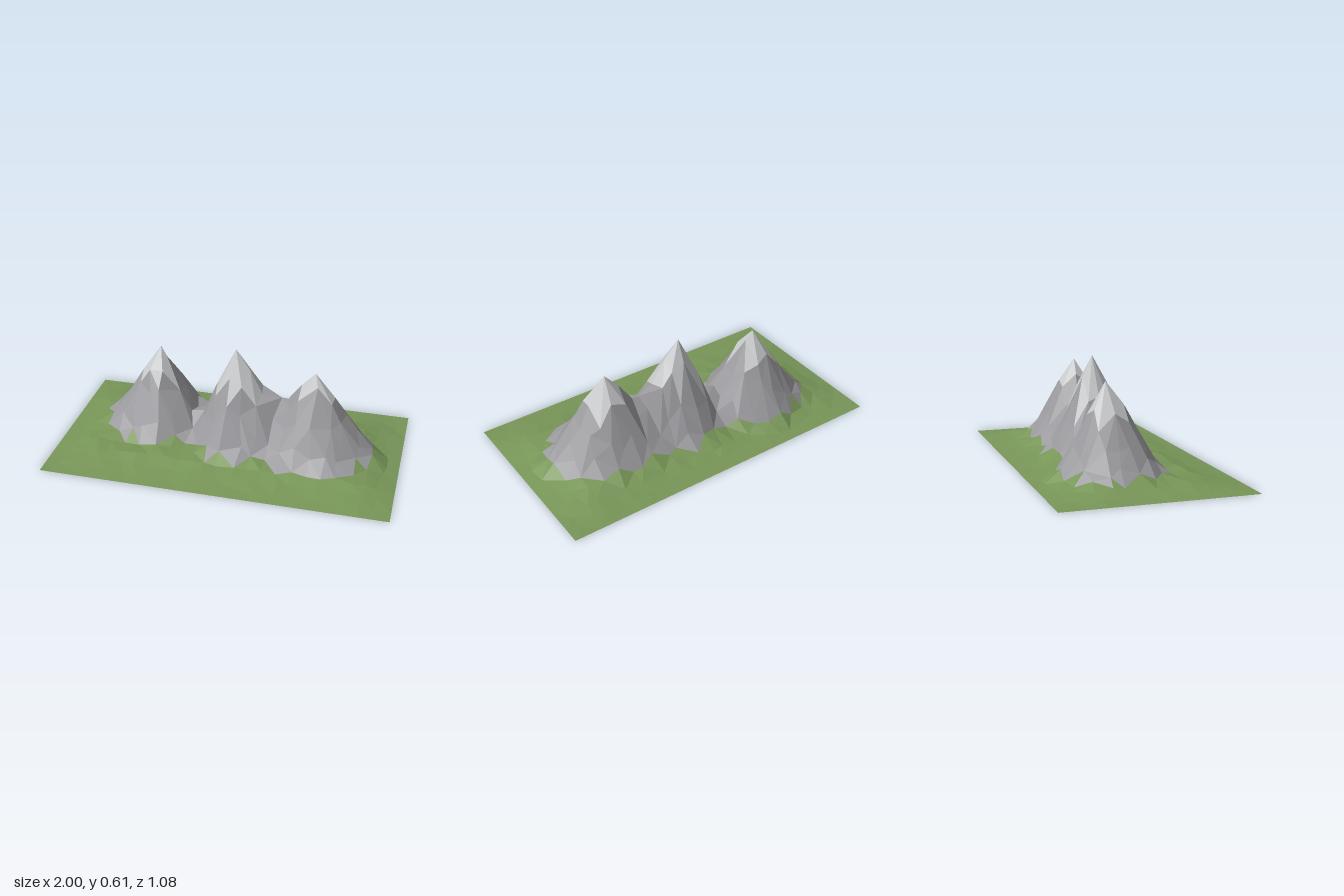
import * as THREE from 'three';

const HALF_X = 1, HALF_Z = 0.54, NX = 24, NZ = 13;

// Summits: position, height, foot radius towards -x, +x, -z, +z, and snow line.
// The third is the bare shoulder joining the two right-hand summits.
const PEAKS = [
  { x: -0.46, z: -0.125, h: 0.535, l: 0.34, r: 0.30, b: 0.27, f: 0.32, snow: 0.38 },
  { x: 0.015, z: -0.05, h: 0.61, l: 0.26, r: 0.36, b: 0.26, f: 0.29, snow: 0.34 },
  { x: 0.29, z: -0.05, h: 0.33, l: 0.22, r: 0.22, b: 0.26, f: 0.29, snow: 1 },
  { x: 0.485, z: -0.02, h: 0.53, l: 0.37, r: 0.37, b: 0.29, f: 0.29, snow: 0.40 },
];

// Slope profile: distance from the summit (1 = foot), share of the height
const PROFILE = [[0, 1], [0.3, 0.76], [0.6, 0.43], [0.85, 0.2], [1, 0.1], [1.15, 0]];

function slope(t) {
  for (let i = 1; i < PROFILE.length; i++) {
    const [a, u] = PROFILE[i - 1], [b, v] = PROFILE[i];
    if (t <= b) return u + (v - u) * (t - a) / (b - a);
  }
  return 0;
}

function seeded(seed) {
  return () => {
    seed = (seed * 16807) % 2147483647;
    return seed / 2147483647;
  };
}

function peakHeight(p, x, z) {
  const dx = x - p.x, dz = z - p.z;
  const t = Math.hypot(dx / (dx < 0 ? p.l : p.r), dz / (dz < 0 ? p.b : p.f));
  const spurs = 1 + 0.04 * Math.sin(Math.atan2(dz, dx) * 6 + p.x * 9) * Math.min(t, 1);
  return p.h * slope(t * spurs);
}

// Low meadow that falls to zero at the border
function meadowHeight(x, z) {
  const ex = Math.min((HALF_X - Math.abs(x)) / 0.2, 1);
  const ez = Math.min((HALF_Z - Math.abs(z)) / 0.26, 1);
  return 0.045 * Math.pow(Math.max(ex * ez, 0), 1.3);
}

function terrainPoints() {
  const rand = seeded(4217);
  const points = [];
  const stepX = 2 * HALF_X / NX, stepZ = 2 * HALF_Z / NZ;
  for (let j = 0; j <= NZ; j++) {
    for (let i = 0; i <= NX; i++) {
      let x = -HALF_X + i * stepX, z = -HALF_Z + j * stepZ, y = 0;
      if (i > 0 && i < NX && j > 0 && j < NZ) {
        x += (rand() - 0.5) * stepX * 0.5;
        z += (rand() - 0.5) * stepZ * 0.5;
        const rock = Math.max(...PEAKS.map((p) => peakHeight(p, x, z)));
        y = Math.max(meadowHeight(x, z) * (0.8 + 0.3 * rand()), rock * (0.96 + 0.08 * rand()));
      }
      points.push(new THREE.Vector3(x, y, z));
    }
  }
  // Pull the closest grid point onto each summit
  for (const p of PEAKS) {
    const i = Math.round((p.x + HALF_X) / stepX), j = Math.round((p.z + HALF_Z) / stepZ);
    points[j * (NX + 1) + i].set(p.x, p.h, p.z);
  }
  return points;
}

function zoneOf(a, b, c) {
  const x = (a.x + b.x + c.x) / 3, y = (a.y + b.y + c.y) / 3, z = (a.z + b.z + c.z) / 3;
  const near = PEAKS.reduce((m, p) =>
    Math.hypot(p.x - x, p.z - z) < Math.hypot(m.x - x, m.z - z) ? p : m);
  if (y > near.snow) return 'snow';
  return y > 0.062 ? 'rock' : 'grass';
}

export function createModel() {
  const group = new THREE.Group();
  group.name = 'mountainRange';

  const make = (name, color) => {
    const m = new THREE.MeshStandardMaterial({ color, flatShading: true, side: THREE.DoubleSide });
    m.name = name;
    return m;
  };
  const zones = {
    grass: { name: 'meadow', material: make('grass green', 0x789658), data: [] },
    rock: { name: 'rockSlopes', material: make('rock grey', 0x9c9b9f), data: [] },
    snow: { name: 'snowCaps', material: make('pale summit grey', 0xc8cacc), data: [] },
  };

  const pts = terrainPoints();
  const addFace = (a, b, c) => {
    const zone = zones[zoneOf(a, b, c)];
    for (const v of [a, b, c]) zone.data.push(v.x, v.y, v.z);
  };
  for (let j = 0; j < NZ; j++) {
    for (let i = 0; i < NX; i++) {
      const k = j * (NX + 1) + i;
      const a = pts[k], b = pts[k + 1], c = pts[k + NX + 1], d = pts[k + NX + 2];
      // Split high cells along the ridge, low cells along the shorter diagonal
      const high = Math.max(a.y, b.y, c.y, d.y) > 0.25;
      const splitBC = high ? b.y + c.y >= a.y + d.y : b.distanceTo(c) <= a.distanceTo(d);
      if (splitBC) {
        addFace(a, c, b);
        addFace(b, c, d);
      } else {
        addFace(a, c, d);
        addFace(a, d, b);
      }
    }
  }

  for (const { name, material, data } of Object.values(zones)) {
    const geometry = new THREE.BufferGeometry();
    geometry.setAttribute('position', new THREE.Float32BufferAttribute(data, 3));
    geometry.computeVertexNormals();
    const mesh = new THREE.Mesh(geometry, material);
    mesh.name = name;
    group.add(mesh);
  }
  return group;
}
